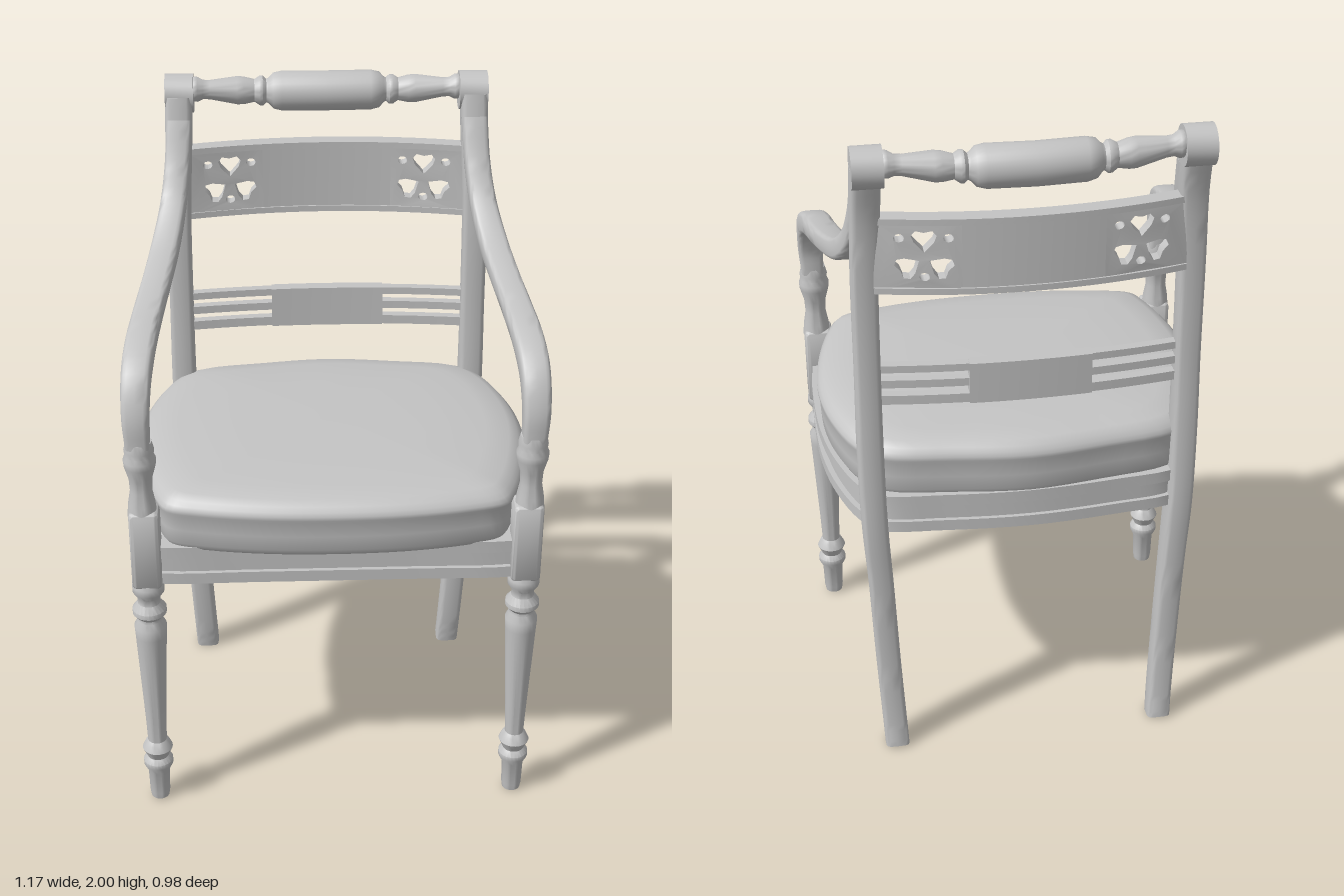
import * as THREE from 'three';
import { toCreasedNormals } from 'three/addons/utils/BufferGeometryUtils.js';
import { RoundedBoxGeometry } from 'three/addons/geometries/RoundedBoxGeometry.js';

const V2 = (x, y) => new THREE.Vector2(x, y);
const V3 = (x, y, z) => new THREE.Vector3(x, y, z);

// Turned profile: [radius, height] pairs
const turned = (pts, seg = 24) => new THREE.LatheGeometry(pts.map(p => V2(...p)), seg);

// Closed, left-right symmetric plan outline from [x, z] points, front centre to back centre
function outline(half, n) {
  const mirrored = half.slice(1, -1).reverse().map(([x, z]) => [-x, z]);
  const curve = new THREE.CatmullRomCurve3([...half, ...mirrored].map(([x, z]) => V3(x, 0, z)), true);
  return Array.from({ length: n }, (_, i) => curve.getPoint(i / n));
}

// Rounded-square bar swept along keys [x, y, z, halfWidth, halfThickness]
function sweep(keys, steps = 40, sides = 20) {
  const path = new THREE.CatmullRomCurve3(keys.map(k => V3(k[0], k[1], k[2])));
  const size = new THREE.CatmullRomCurve3(keys.map((k, i) => V3(k[3], k[4], i * 0.01)));
  const pos = [], index = [], rings = [[0, 0]];
  for (let i = 0; i <= steps; i++) rings.push([i / steps, 1]);
  rings.push([1, 0]);
  for (const [t, scale] of rings) {
    const c = path.getPoint(t), d = path.getTangent(t), s = size.getPoint(t);
    const len = Math.hypot(d.y, d.z);
    for (let j = 0; j < sides; j++) {
      const a = (j / sides) * Math.PI * 2;
      const round = v => Math.sign(v) * Math.abs(v) ** 0.45 * scale;
      const u = round(Math.cos(a)) * s.x, w = round(Math.sin(a)) * s.y;
      pos.push(c.x + u, c.y - (w * d.z) / len, c.z + (w * d.y) / len);
    }
  }
  for (let i = 0; i < rings.length - 1; i++)
    for (let j = 0; j < sides; j++) {
      const a = i * sides + j, b = i * sides + (j + 1) % sides;
      index.push(a, a + sides, b, b, a + sides, b + sides);
    }
  const g = new THREE.BufferGeometry();
  g.setAttribute('position', new THREE.Float32BufferAttribute(pos, 3));
  g.setIndex(index);
  return g;
}

// Move every vertex by a rule
function warp(g, rule) {
  const p = g.attributes.position, v = V3(0, 0, 0);
  for (let i = 0; i < p.count; i++) {
    rule(v.fromBufferAttribute(p, i));
    p.setXYZ(i, v.x, v.y, v.z);
  }
  return g;
}

function rectShape(x0, x1, y0, y1) {
  return new THREE.Shape([V2(x0, y0), V2(x1, y0), V2(x1, y1), V2(x0, y1)]);
}

export function createModel() {
  const group = new THREE.Group();
  const paint = new THREE.MeshStandardMaterial({ color: 0xc4c4c4 });
  paint.name = 'pale grey';
  const add = (name, g, crease = 0.7) => {
    const m = new THREE.Mesh(toCreasedNormals(g, crease), paint);
    m.name = name;
    group.add(m);
    return m;
  };

  for (const s of [1, -1]) {
    const side = s > 0 ? 'left' : 'right';

    // Front leg, block and arm support
    const leg = turned([[0, 0], [0.027, 0], [0.03, 0.02], [0.032, 0.1], [0.044, 0.125], [0.044, 0.14], [0.032, 0.155],
      [0.036, 0.165], [0.045, 0.185], [0.036, 0.205], [0.028, 0.215], [0.031, 0.3], [0.045, 0.6], [0.047, 0.635],
      [0.036, 0.655], [0.036, 0.665], [0.049, 0.68], [0.049, 0.695], [0.033, 0.715], [0.033, 0.735],
      [0.046, 0.755], [0.046, 0.775], [0.036, 0.8], [0, 0.8]]);
    add(side + 'FrontLeg', leg).position.set(0.537 * s, 0, 0.41);
    const block = new RoundedBoxGeometry(0.085, 0.25, 0.085, 3, 0.014);
    add(side + 'FrontBlock', block).position.set(0.537 * s, 0.905, 0.41);
    const support = turned([[0, 1], [0.042, 1.01], [0.038, 1.05], [0.031, 1.09], [0.033, 1.13], [0.044, 1.17],
      [0.046, 1.19], [0.04, 1.205], [0.042, 1.22], [0.036, 1.245], [0, 1.25]]);
    add(side + 'ArmSupport', support).position.set(0.541 * s, 0, 0.41);

    // Swept arm rising to the back post
    add(side + 'Arm', sweep([
      [0.543, 1.23, 0.41, 0.034, 0.035], [0.545, 1.32, 0.405, 0.038, 0.036], [0.541, 1.41, 0.36, 0.041, 0.037],
      [0.532, 1.46, 0.27, 0.042, 0.033], [0.515, 1.495, 0.13, 0.041, 0.03], [0.495, 1.53, 0, 0.04, 0.03],
      [0.473, 1.58, -0.13, 0.04, 0.032], [0.452, 1.66, -0.235, 0.038, 0.034], [0.438, 1.76, -0.3, 0.037, 0.036],
      [0.43, 1.88, -0.345, 0.038, 0.03]].map(([x, ...r]) => [x * s, ...r])), 0.9);

    // Sabre back leg continuing into the post, with its rolled top
    add(side + 'BackPost', sweep([
      [0.408, 0, -0.378, 0.036, 0.034], [0.412, 0.09, -0.366, 0.036, 0.035], [0.422, 0.3, -0.352, 0.036, 0.037],
      [0.434, 0.6, -0.348, 0.036, 0.041], [0.444, 0.8, -0.346, 0.037, 0.046], [0.447, 1.05, -0.343, 0.037, 0.043],
      [0.445, 1.3, -0.342, 0.036, 0.037], [0.442, 1.6, -0.344, 0.037, 0.036], [0.434, 1.8, -0.355, 0.039, 0.04],
      [0.43, 1.94, -0.385, 0.04, 0.046]].map(([x, ...r]) => [x * s, ...r])), 0.9);
    const roll = new THREE.CylinderGeometry(0.056, 0.056, 0.082, 28).rotateZ(Math.PI / 2);
    add(side + 'PostScroll', roll).position.set(0.428 * s, 1.944, -0.4);
  }

  // Turned crest rail, slightly bowed back and down in the middle
  const halfRail = [[0, 0], [0.058, 0], [0.058, 0.13], [0.052, 0.155], [0.038, 0.168], [0.034, 0.175], [0.043, 0.185],
    [0.043, 0.195], [0.033, 0.21], [0.04, 0.24], [0.041, 0.26], [0.028, 0.34], [0.028, 0.36], [0.036, 0.375],
    [0.036, 0.385], [0.03, 0.395], [0.03, 0.42]];
  const railPts = halfRail.slice(1);
  const rail = turned([...railPts.slice(1).reverse().map(([r, y]) => [r, -y]), ...railPts], 28).rotateZ(-Math.PI / 2);
  add('crestRail', warp(rail, v => {
    const k = (v.x / 0.4) ** 2;
    v.y += 1.936 + 0.018 * k;
    v.z += -0.43 + 0.025 * k;
  }));

  // Curved upper splat: solid centre, pierced ends, edge beads
  const bow = v => { v.z += -0.412 + 0.05 * (v.x / 0.42) ** 2; };
  const bar = (x0, x1, y0, y1, depth, rule, z = 0) =>
    warp(new THREE.BoxGeometry(x1 - x0, y1 - y0, depth, 16, 1, 1).translate((x0 + x1) / 2, (y0 + y1) / 2, z), rule);
  add('upperSplat', bar(-0.19, 0.19, 1.575, 1.785, 0.036, bow));
  for (const y of [1.58, 1.782]) add('splatBead', bar(-0.42, 0.42, y - 0.009, y + 0.009, 0.046, bow));
  for (const s of [1, -1]) {
    const panel = rectShape(0.19, 0.42, 1.575, 1.785);
    const cx = 0.288, cy = 1.678;
    for (const deg of [90, 212, 328]) {
      // Leaf-shaped piercing pointing at the centre of the fret
      const a = deg * Math.PI / 180;
      const at = (r, w) => V2(cx + r * Math.cos(a) - w * Math.sin(a), cy + r * Math.sin(a) + w * Math.cos(a));
      panel.holes.push(new THREE.Path([[0.016, 0], [0.045, 0.026], [0.064, 0.033], [0.078, 0.022], [0.073, 0],
        [0.078, -0.022], [0.064, -0.033], [0.045, -0.026]].map(p => at(...p))));
    }
    for (const [x, y] of [[0.352, 1.735], [0.225, 1.735], [0.288, 1.622]])
      panel.holes.push(new THREE.Path().absellipse(x, y, 0.014, 0.012, 0, Math.PI * 2));
    const g = new THREE.ExtrudeGeometry(panel, { depth: 0.036, bevelEnabled: false, curveSegments: 6 }).translate(0, 0, -0.018);
    if (s < 0) g.rotateY(Math.PI);
    add('piercedPanel', warp(g, bow));
  }

  // Lower back rail: tablet with slim bars either side
  const lowBow = v => { v.z += -0.372 + 0.03 * (v.x / 0.42) ** 2; };
  add('lowerTablet', bar(-0.17, 0.17, 1.207, 1.332, 0.036, lowBow));
  for (const s of [1, -1])
    for (const [y, h] of [[1.222, 0.014], [1.273, 0.012], [1.32, 0.011]])
      add('lowerBar', bar(s * 0.29 - 0.13, s * 0.29 + 0.13, y - h, y + h, 0.026, lowBow));

  // Moulded seat frame in three layers
  const outer = outline([[0, 0.435], [0.25, 0.435], [0.48, 0.435], [0.545, 0.42], [0.568, 0.32], [0.574, 0.15],
    [0.567, 0], [0.54, -0.15], [0.485, -0.3], [0.43, -0.365], [0.25, -0.392], [0, -0.408]], 96);
  const inner = outline([[0, 0.37], [0.25, 0.37], [0.43, 0.36], [0.48, 0.31], [0.505, 0.2], [0.505, 0.05],
    [0.475, -0.12], [0.42, -0.26], [0.36, -0.315], [0.2, -0.335], [0, -0.345]], 72);
  for (const [name, y, h, k] of [['lowerMoulding', 0.79, 0.035, 1], ['seatRail', 0.825, 0.05, 0.972], ['upperMoulding', 0.875, 0.037, 1]]) {
    const shape = new THREE.Shape(outer.map(p => V2(p.x * k, -p.z * k)));
    shape.holes.push(new THREE.Path(inner.map(p => V2(p.x, -p.z))));
    const g = new THREE.ExtrudeGeometry(shape, { depth: h, bevelEnabled: false }).rotateX(-Math.PI / 2);
    add(name, g).position.y = y;
  }

  // Domed cushion: a lathe whose circle is remapped to the seat outline
  const n = 96;
  const plan = outline([[0, 0.49], [0.2, 0.482], [0.38, 0.455], [0.475, 0.425], [0.505, 0.37], [0.54, 0.25],
    [0.563, 0.1], [0.563, -0.02], [0.54, -0.15], [0.485, -0.29], [0.42, -0.355], [0.22, -0.392], [0, -0.415]], n);
  const cushion = turned([[0, 0.9], [0.94, 0.9], [0.965, 0.905], [0.985, 0.925], [0.99, 0.97], [0.992, 1.015],
    [1, 1.025], [1, 1.037], [0.985, 1.047], [0.965, 1.06], [0.92, 1.072], [0.8, 1.082], [0.5, 1.089], [0, 1.092]], n);
  add('seatCushion', warp(cushion, v => {
    const r = Math.hypot(v.x, v.z);
    const i = (Math.round(Math.atan2(v.x, v.z) / (2 * Math.PI) * n) + n) % n;
    v.x = plan[i].x * r;
    v.z = plan[i].z * r;
  }), 0.9);

  return group;
}
